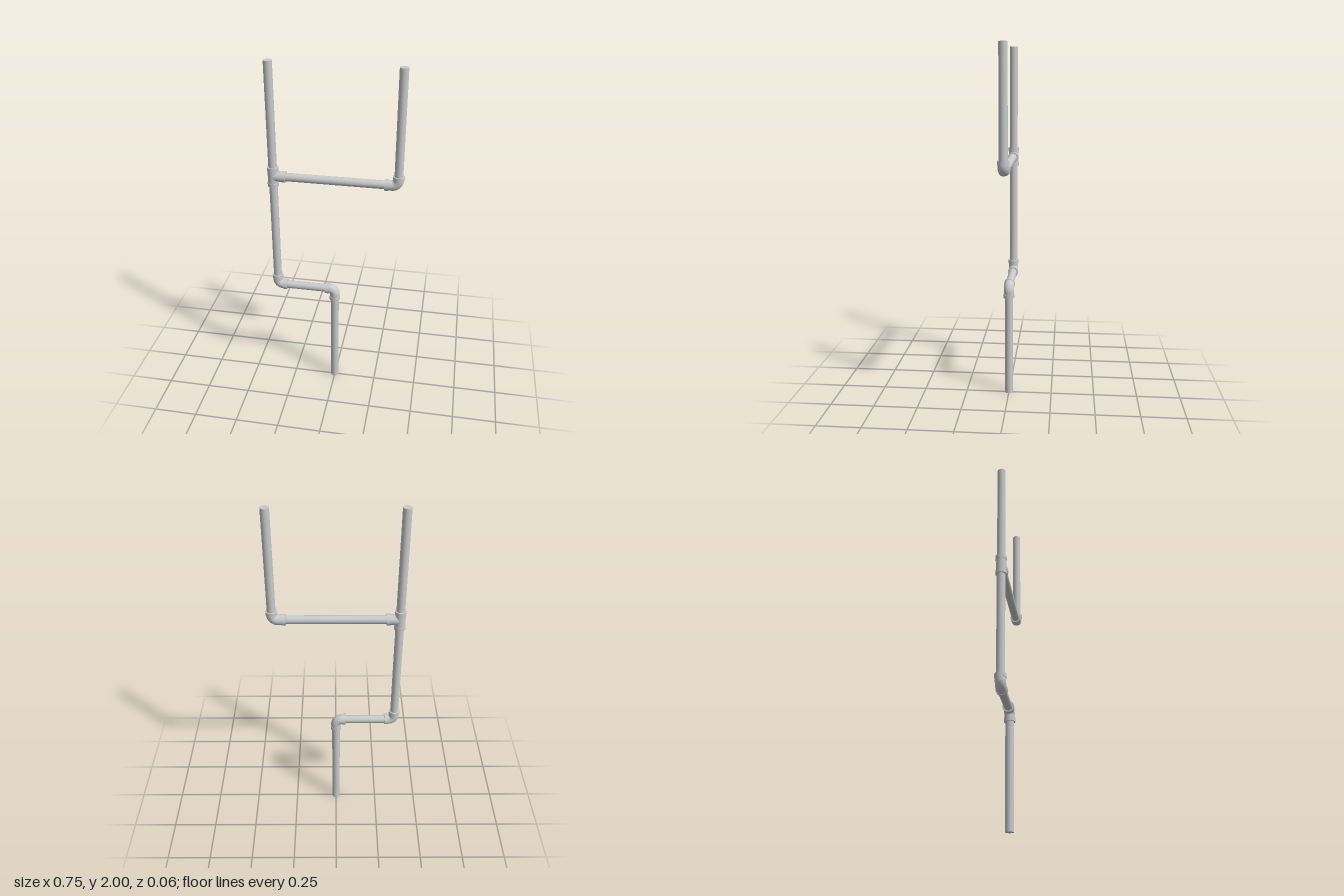
import * as THREE from 'three';

const PIPE_R = 0.0232, BODY_R = 0.0287, COLLAR_R = 0.0312, COLLAR_H = 0.021, BEND_R = 0.034;
const SIDE = 0.342, LOW_Y = 0.655, HIGH_Y = 1.361;

export function createModel() {
  const model = new THREE.Group();
  const grey = new THREE.MeshStandardMaterial({ color: 0xc8cacb });
  grey.name = 'pipe grey';

  // Capped cylinder between two points in the XY plane
  function rod(parent, name, r, x0, y0, x1, y1) {
    const dir = new THREE.Vector3(x1 - x0, y1 - y0, 0);
    const mesh = new THREE.Mesh(new THREE.CylinderGeometry(r, r, dir.length(), 32), grey);
    mesh.name = name;
    mesh.position.set((x0 + x1) / 2, (y0 + y1) / 2, 0);
    mesh.quaternion.setFromUnitVectors(new THREE.Vector3(0, 1, 0), dir.normalize());
    parent.add(mesh);
  }

  // Socket arm of a fitting, from distance start to end, with a collar at its mouth
  function arm(parent, x, y, dx, dy, start, end) {
    const c = end - COLLAR_H;
    rod(parent, 'socket', BODY_R, x + dx * start, y + dy * start, x + dx * c, y + dy * c);
    rod(parent, 'collar', COLLAR_R, x + dx * c, y + dy * c, x + dx * end, y + dy * end);
  }

  // Ninety degree elbow with one horizontal and one vertical arm
  function elbow(name, x, y, dx, dy, lenX, lenY) {
    const group = new THREE.Group();
    group.name = name;
    const bend = new THREE.Mesh(new THREE.TorusGeometry(BEND_R, BODY_R, 32, 16, Math.PI / 2), grey);
    bend.name = 'bend';
    bend.position.set(x + dx * BEND_R, y + dy * BEND_R, 0);
    bend.rotation.z = Math.atan2(-dy, -dx) - Math.PI / 4;
    group.add(bend);
    arm(group, x, y, dx, 0, BEND_R, lenX);
    arm(group, x, y, 0, dy, BEND_R, lenY);
    model.add(group);
  }

  // Straight pipes, ending inside the fittings
  const inset = 0.04;
  rod(model, 'bottomPipe', PIPE_R, 0, 0, 0, LOW_Y - inset);
  rod(model, 'lowerCrossPipe', PIPE_R, -SIDE + inset, LOW_Y, -inset, LOW_Y);
  rod(model, 'middlePipe', PIPE_R, -SIDE, LOW_Y + inset, -SIDE, HIGH_Y);
  rod(model, 'upperCrossPipe', PIPE_R, -SIDE + inset, HIGH_Y, SIDE - inset, HIGH_Y);
  rod(model, 'topRightPipe', PIPE_R, -SIDE, HIGH_Y, -SIDE, 2);
  rod(model, 'topLeftPipe', PIPE_R, SIDE, HIGH_Y + inset, SIDE, 2);

  // Elbows
  elbow('bottomElbow', 0, LOW_Y, -1, -1, 0.056, 0.07);
  elbow('lowerRightElbow', -SIDE, LOW_Y, 1, 1, 0.057, 0.067);
  elbow('upperLeftElbow', SIDE, HIGH_Y, -1, 1, 0.074, 0.055);

  // Tee
  const tee = new THREE.Group();
  tee.name = 'tee';
  arm(tee, -SIDE, HIGH_Y, 0, 1, 0, 0.055);
  arm(tee, -SIDE, HIGH_Y, 0, -1, 0, 0.057);
  arm(tee, -SIDE, HIGH_Y, 1, 0, 0, 0.072);
  model.add(tee);

  return model;
}
